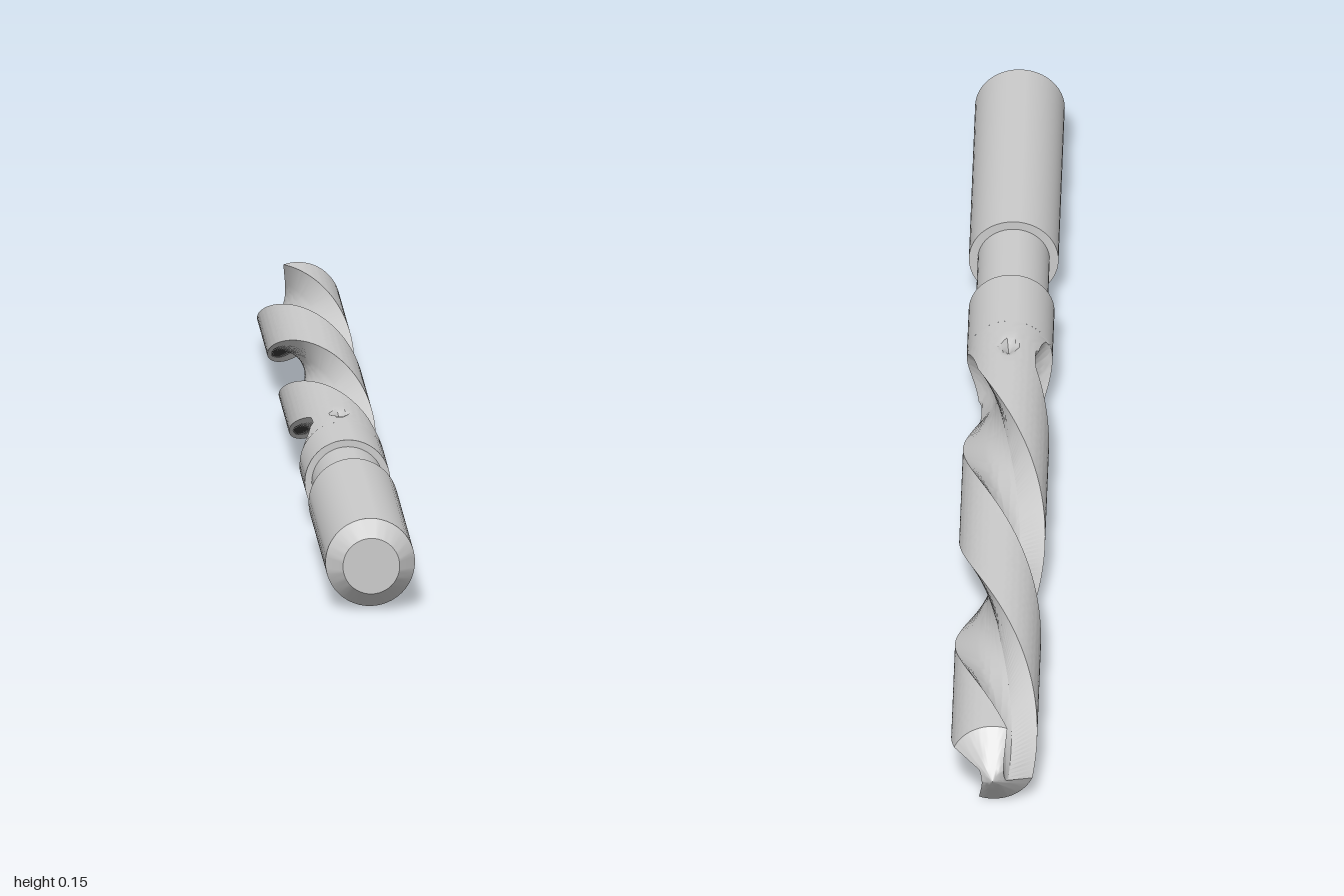
import * as THREE from 'three';
import { toCreasedNormals } from 'three/addons/utils/BufferGeometryUtils.js';

const R = 0.068;        // body radius
const WEB = 0.018;      // half thickness of the core between the flutes
const CUTTER = 0.054;   // radius of the round flute cutter
const START = 0.24;     // where the flutes begin
const TIP = -1;
const SLOPE = 0.83;     // axial length of the point per unit of radius
const FLUTE = 18, LAND = 20;

const material = new THREE.MeshStandardMaterial({ color: 0xcccccc });

// Turned part along z from [radius, z] pairs with rising z
function turned(name, profile) {
  const points = profile.map(([r, z]) => new THREE.Vector2(r, z));
  const geometry = new THREE.LatheGeometry(points, 48).rotateX(Math.PI / 2);
  const mesh = new THREE.Mesh(toCreasedNormals(geometry, 0.5), material);
  mesh.name = name;
  return mesh;
}

// Flute direction at z: half a turn every 0.57, straighter at the run-out
function twist(z) {
  const t = (0.13 - z) * Math.PI / 0.57;
  return t > 0 ? t : t * 0.4;
}

// Cross-section as [angle, radius] pairs: two round flutes and two lands
function section(z) {
  const k = THREE.MathUtils.clamp((START - z) / 0.13, 0.002, 1);
  const bottom = R - (R - WEB) * (1 - (1 - k) ** 2);
  const d = bottom + CUTTER;
  const edge = Math.acos((R * R + d * d - CUTTER * CUTTER) / (2 * R * d));
  const ring = [];
  for (const side of [0, Math.PI]) {
    for (let i = 0; i < FLUTE; i++) {
      const a = edge * (2 * i / FLUTE - 1);
      const r = d * Math.cos(a) - Math.sqrt(Math.max(0, CUTTER ** 2 - (d * Math.sin(a)) ** 2));
      ring.push([side + a, Math.min(r, R)]);
    }
    for (let i = 0; i < LAND; i++) {
      ring.push([side + edge + (Math.PI - 2 * edge) * i / LAND, R]);
    }
  }
  return ring;
}

// Small diamond-shaped dents on the lands next to the run-out
function dent(angle, z) {
  const off = Math.acos(Math.min(1, Math.abs(Math.sin(angle))));
  return 0.016 * Math.max(0, 1 - Math.abs(z - 0.17) / 0.035 - off / 0.25);
}

// Fluted body lofted ring by ring, closed by a conical point
function flutedBody() {
  const positions = [], index = [];
  const rings = 130, capRings = 4, count = 2 * (FLUTE + LAND);
  const add = (angle, r, z) => positions.push(r * Math.cos(angle), r * Math.sin(angle), z);

  for (let i = 0; i <= rings; i++) {
    const t = i / rings;
    for (const [a, r] of section(START + t * (TIP - START))) {
      const z = START + t * (TIP + SLOPE * r - START);
      const angle = a + twist(z);
      add(angle, r - (r === R ? dent(angle, z) : 0), z);
    }
  }
  // Point: the last ring shrinks along a cone to the apex
  for (let i = 1; i <= capRings; i++) {
    const s = 1 - i / capRings;
    for (const [a, r] of section(TIP)) add(a + twist(TIP + SLOPE * r), r * s, TIP + SLOPE * r * s);
  }
  for (let i = 0; i < rings + capRings; i++) {
    for (let j = 0; j < count; j++) {
      const n = (j + 1) % count;
      const a = i * count + j, b = i * count + n;
      const c = a + count, d = b + count;
      index.push(a, c, b);
      if (i < rings + capRings - 1) index.push(b, c, d);
    }
  }
  const geometry = new THREE.BufferGeometry();
  geometry.setAttribute('position', new THREE.Float32BufferAttribute(positions, 3));
  geometry.setIndex(index);
  const mesh = new THREE.Mesh(toCreasedNormals(geometry, 0.5), material);
  mesh.name = 'flutedBody';
  return mesh;
}

export function createModel() {
  const group = new THREE.Group();
  group.name = 'drillBit';

  const bit = new THREE.Group();
  bit.name = 'bit';
  bit.add(
    turned('shank', [[0, 0.525], [0.071, 0.525], [0.071, 0.97], [0.045, 1], [0, 1]]),
    turned('neck', [[0.057, 0.37], [0.057, 0.53]]),
    turned('collar', [[R, START], [R, 0.375], [0, 0.375]]),
    flutedBody()
  );
  // The bit lies very slightly tilted, on its thicker shank
  bit.rotation.set(-0.0035, -0.0035, 0);
  bit.position.y = 0.073;
  group.add(bit);
  return group;
}
